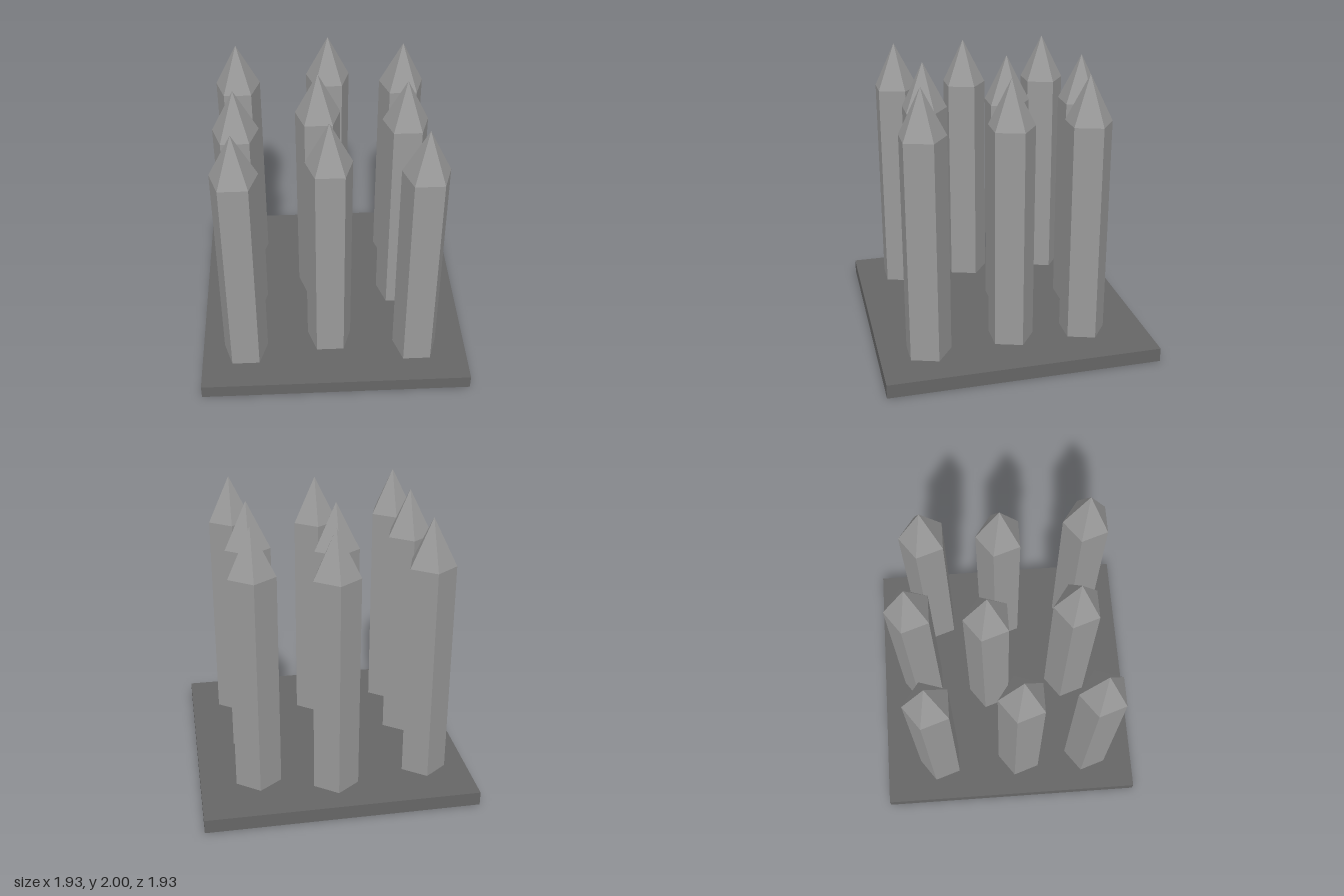
import * as THREE from 'three';

const PLATE = 0.1, SHOULDER = 1.667, TOP = 2, RADIUS = 0.168, SIDES = 5;

// x, z of each spike: three loose rows of three
const SPOTS = [
  [-0.65, -0.537], [0.014, -0.637], [0.552, -0.517],
  [-0.652, 0.085], [-0.08, -0.11], [0.528, 0.012],
  [-0.65, 0.612], [-0.03, 0.503], [0.597, 0.624],
];

export function createModel() {
  const group = new THREE.Group();
  group.name = 'spikeTrap';
  const spikeMaterial = new THREE.MeshStandardMaterial({ color: 0x999999, flatShading: true });
  const plateMaterial = new THREE.MeshStandardMaterial({ color: 0x666666, flatShading: true });

  // Square base plate
  const base = new THREE.Mesh(new THREE.BoxGeometry(1.93, PLATE, 1.93), plateMaterial);
  base.name = 'basePlate';
  base.position.y = PLATE / 2;
  group.add(base);

  // Five-sided shaft and pointed tip, one corner turned to the back
  const shaftGeometry = new THREE.CylinderGeometry(RADIUS, RADIUS, SHOULDER - PLATE, SIDES, 1, true)
    .rotateY(Math.PI).translate(0, (SHOULDER + PLATE) / 2, 0);
  const tipGeometry = new THREE.ConeGeometry(RADIUS, TOP - SHOULDER, SIDES, 1, true)
    .rotateY(Math.PI).translate(0, (TOP + SHOULDER) / 2, 0);

  SPOTS.forEach(([x, z], i) => {
    const spike = new THREE.Group();
    spike.name = `spike${i + 1}`;
    const shaft = new THREE.Mesh(shaftGeometry, spikeMaterial);
    shaft.name = 'spikeShaft';
    const tip = new THREE.Mesh(tipGeometry, spikeMaterial);
    tip.name = 'spikeTip';
    spike.add(shaft, tip);
    spike.position.set(x, 0, z);
    group.add(spike);
  });

  return group;
}
